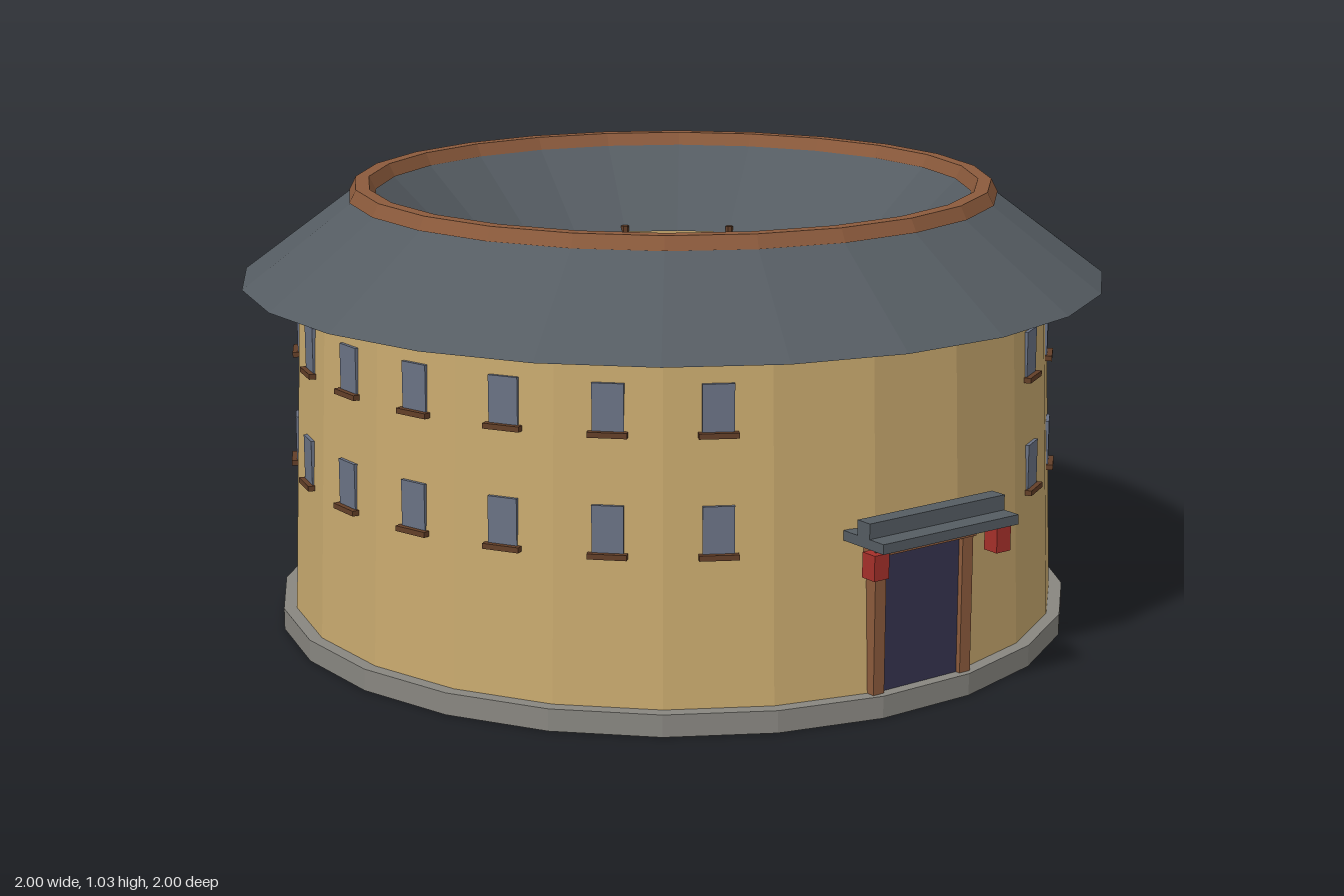
import * as THREE from 'three';

const SIDES = 24;
const STEP = (Math.PI * 2) / SIDES;
const FLAT = 1 / Math.cos(STEP / 2); // flat-to-flat radius -> corner radius

const material = (name, color) => {
  const m = new THREE.MeshStandardMaterial({ color, flatShading: true });
  m.name = name;
  return m;
};

export function createModel() {
  const earth = material('earth wall', 0xc8a96e);
  const tile = material('roof tile', 0x555c62);
  const stone = material('stone', 0x888680);
  const paving = material('paving', 0x9a9186);
  const wood = material('wood', 0x8b5a3c);
  const darkWood = material('dark wood', 0x633f28);
  const glass = material('window', 0x6a7284);
  const doorPaint = material('door', 0x35334f);
  const red = material('lantern red', 0xa5302a);
  const green = material('leaf', 0x3f8152);

  const model = new THREE.Group();
  model.name = 'roundhouse';

  const add = (name, geometry, mat, x = 0, y = 0, z = 0, parent = model) => {
    const mesh = new THREE.Mesh(geometry, mat);
    mesh.name = name;
    mesh.position.set(x, y, z);
    parent.add(mesh);
    return mesh;
  };
  const box = (name, mat, w, h, d, x, y, z, parent) =>
    add(name, new THREE.BoxGeometry(w, h, d), mat, x, y, z, parent);

  // Closed faceted ring: profile of [radius, height], up the outside and down the inside
  const ring = (name, mat, profile) => {
    const pts = [...profile, profile[0]].map(([r, y]) => new THREE.Vector2(r * FLAT, y));
    return add(name, new THREE.LatheGeometry(pts, SIDES, STEP / 2), mat);
  };
  const band = (name, mat, inner, outer, y0, y1) =>
    ring(name, mat, [[outer, y0], [outer, y1], [inner, y1], [inner, y0]]);

  // Foundation and courtyard
  add('foundation', new THREE.CylinderGeometry(0.93 * FLAT, 0.93 * FLAT, 0.05, SIDES, 1, false, STEP / 2),
    stone, 0, 0.025, 0);
  add('courtyardFloor', new THREE.CylinderGeometry(0.61, 0.61, 0.008, SIDES, 1, false, STEP / 2),
    paving, 0, 0.054, 0);

  // Tapered outer wall with straight courtyard side
  ring('ringWall', earth, [[0.9, 0.05], [0.87, 0.825], [0.6, 0.825], [0.6, 0.05]]);

  // Two-sided roof with flat soffit, and ridge cap
  ring('ringRoof', tile, [[1, 0.815], [0.735, 1.015], [0.705, 1.015], [0.5, 0.815]]);
  ring('ridgeCap', wood, [[0.752, 1.005], [0.737, 1.035], [0.706, 1.035], [0.691, 1.005]]);

  // Windows: outside skips the three bays by the gate, courtyard side is complete
  for (let i = 0; i < SIDES; i++) {
    const bay = new THREE.Group();
    bay.name = 'windowBay';
    bay.rotation.y = i * STEP;
    model.add(bay);
    for (const y of [0.437, 0.697]) {
      if (i > 1 && i < SIDES - 1) {
        const r = 0.9 - ((y - 0.05) * 0.03) / 0.775;
        box('window', glass, 0.068, 0.105, 0.012, 0, y, r, bay);
        box('windowSill', darkWood, 0.085, 0.012, 0.03, 0, y - 0.056, r + 0.003, bay);
      }
      box('courtyardWindow', glass, 0.068, 0.105, 0.01, 0, y, 0.597, bay);
    }
  }

  // Courtyard galleries: floor, and two rails per storey
  for (const y of [0.295, 0.565]) {
    band('galleryFloor', wood, 0.505, 0.605, y - 0.02, y + 0.02);
    for (const rise of [0.055, 0.125]) {
      band('galleryRail', darkWood, 0.5, 0.512, y + rise - 0.006, y + rise + 0.006);
    }
  }
  for (let i = 0; i < 12; i++) {
    const a = i * STEP * 2 + STEP * 1.5;
    add('galleryPost', new THREE.CylinderGeometry(0.01, 0.01, 0.78, 6), darkWood,
      Math.cos(a) * 0.508, 0.44, Math.sin(a) * 0.508);
  }

  // Gate
  const gate = new THREE.Group();
  gate.name = 'gate';
  model.add(gate);
  box('gateDoor', doorPaint, 0.22, 0.31, 0.02, 0, 0.205, 0.893, gate);
  box('gateLintel', wood, 0.29, 0.028, 0.035, 0, 0.372, 0.9, gate);
  box('canopy', tile, 0.38, 0.022, 0.13, 0, 0.406, 0.935, gate);
  box('canopyRidge', tile, 0.38, 0.034, 0.04, 0, 0.434, 0.935, gate);
  for (const side of [-1, 1]) {
    box('gatePost', wood, 0.03, 0.31, 0.03, side * 0.123, 0.205, 0.9, gate);
    box('lantern', red, 0.04, 0.056, 0.04, side * 0.172, 0.358, 0.955, gate);
    add('lanternCord', new THREE.CylinderGeometry(0.003, 0.003, 0.02, 6), darkWood,
      side * 0.172, 0.392, 0.955, gate);
  }

  // Central hall with pyramid roof
  const hall = new THREE.Group();
  hall.name = 'centralHall';
  model.add(hall);
  box('hallWalls', earth, 0.3, 0.2, 0.3, 0, 0.155, 0, hall);
  box('hallDoor', doorPaint, 0.08, 0.14, 0.008, 0, 0.125, 0.152, hall);
  add('hallRoof', new THREE.ConeGeometry(0.2 * Math.SQRT2, 0.14, 4, 1, false, Math.PI / 4),
    tile, 0, 0.325, 0, hall);

  // Courtyard trees
  for (const side of [-1, 1]) {
    add('treeTrunk', new THREE.CylinderGeometry(0.012, 0.016, 0.12, 6), darkWood, side * 0.405, 0.11, 0);
    add('treeCrown', new THREE.SphereGeometry(0.07, 6, 5), green, side * 0.405, 0.21, 0);
  }

  return model;
}
